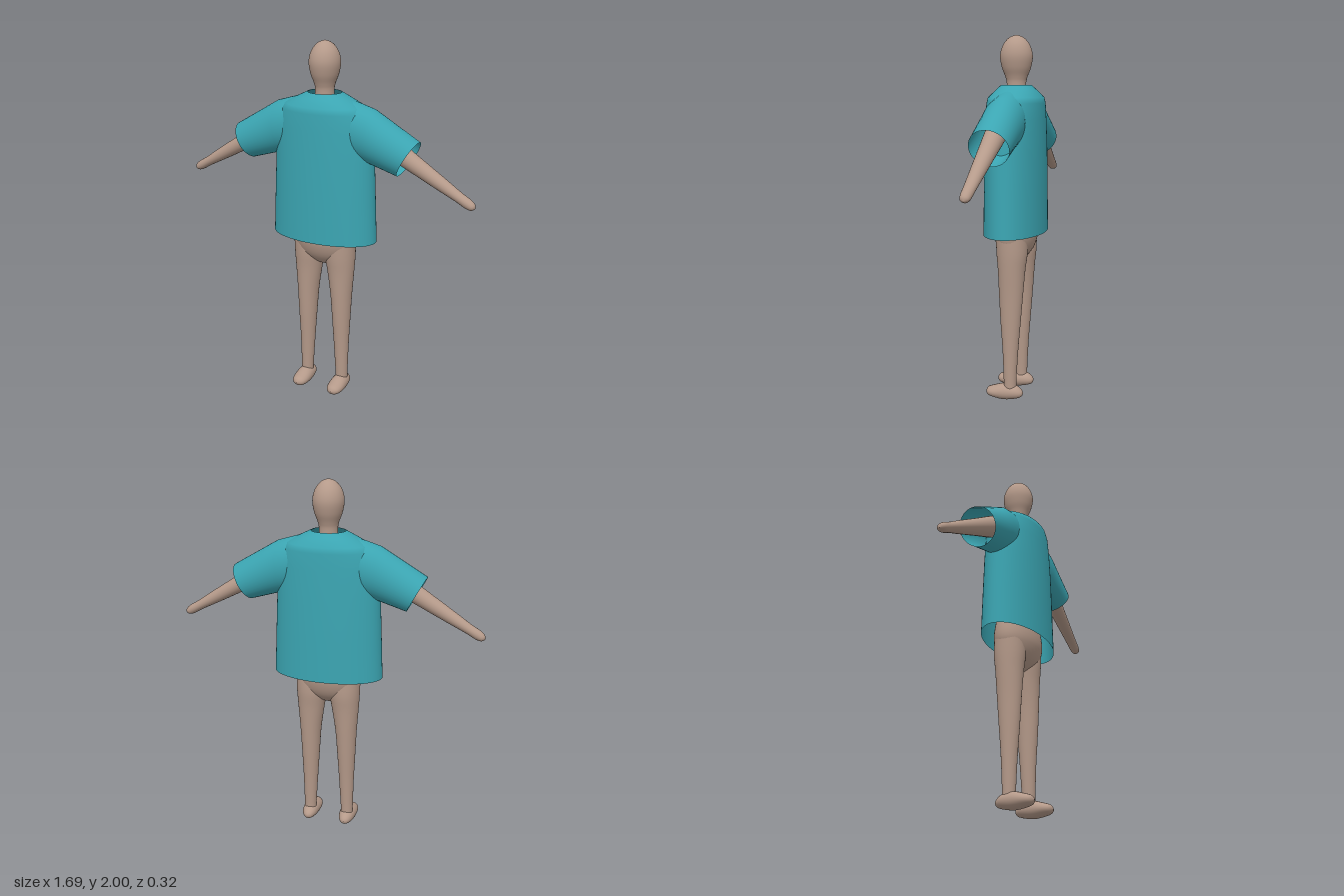
import * as THREE from 'three';

// Skins elliptical rings. Ring: { c: centre, u, v: half axes }, with u x v along the path.
function loft(rings, { side = 1, smooth = 0, seg = 40 } = {}) {
  let list = rings.map(r => [...r.c, ...r.u, ...r.v]);
  if (smooth) {
    const curve = [0, 3, 6].map(k => new THREE.SplineCurve(list.map(a => new THREE.Vector2(a[k], a[k + 1]))));
    const depth = [2, 5, 8].map(k => new THREE.SplineCurve(list.map(a => new THREE.Vector2(a[k], 0))));
    const n = (list.length - 1) * smooth;
    list = Array.from({ length: n + 1 }, (_, i) => [0, 1, 2].flatMap(k => {
      const p = curve[k].getPoint(i / n);
      return [p.x, p.y, depth[k].getPoint(i / n).x];
    }));
  }
  const pos = [], idx = [];
  list.forEach((a, i) => {
    for (let j = 0; j < seg; j++) {
      const t = (j / seg) * Math.PI * 2, cs = Math.cos(t), sn = Math.sin(t);
      const [x, y, z] = [0, 1, 2].map(k => a[k] + a[3 + k] * cs + a[6 + k] * sn);
      pos.push(x * side, y, z);
      if (i === list.length - 1) continue;
      const p = i * seg + j, q = i * seg + (j + 1) % seg, r = p + seg, s = q + seg;
      if (side > 0) idx.push(p, q, r, q, s, r);
      else idx.push(p, r, q, q, r, s);
    }
  });
  const g = new THREE.BufferGeometry();
  g.setAttribute('position', new THREE.Float32BufferAttribute(pos, 3));
  g.setIndex(idx);
  g.computeVertexNormals();
  return g;
}

// Ring lying flat at height y
const flat = (y, rx, rz, x = 0, z = 0) => ({ c: [x, y, z], u: [0, 0, rz], v: [rx, 0, 0] });
// Upright ring facing +z
const facing = (z, rx, ry, x, y) => ({ c: [x, y, z], u: [rx, 0, 0], v: [0, ry, 0] });
// Ring spanning a top point to a bottom point, half depth hz
const span = (tx, ty, bx, by, hz) => ({
  c: [(tx + bx) / 2, (ty + by) / 2, 0], u: [0, 0, hz], v: [(bx - tx) / 2, (by - ty) / 2, 0],
});

export function createModel() {
  const model = new THREE.Group();
  model.name = 'figure';
  const skin = new THREE.MeshStandardMaterial({ color: 0xb59a8a });
  skin.name = 'skin';
  const cloth = new THREE.MeshStandardMaterial({ color: 0x3ba5b2, side: THREE.DoubleSide });
  cloth.name = 'teal cloth';
  const add = (name, geometry, material) => {
    const mesh = new THREE.Mesh(geometry, material);
    mesh.name = name;
    model.add(mesh);
  };

  // Head and neck
  add('head', loft([
    flat(1.64, 0.055, 0.055), flat(1.74, 0.05, 0.052), flat(1.78, 0.056, 0.06), flat(1.83, 0.074, 0.079),
    flat(1.89, 0.083, 0.088), flat(1.945, 0.07, 0.073), flat(1.985, 0.038, 0.04), flat(2, 0, 0),
  ], { smooth: 5 }), skin);

  // Hips and torso
  add('torso', loft([
    flat(0.77, 0, 0), flat(0.785, 0.05, 0.035), flat(0.83, 0.14, 0.08), flat(0.89, 0.178, 0.107),
    flat(0.96, 0.186, 0.115), flat(1.1, 0.165, 0.1), flat(1.3, 0.175, 0.105), flat(1.5, 0.2, 0.1),
    flat(1.6, 0.16, 0.08), flat(1.67, 0.06, 0.055), flat(1.69, 0, 0),
  ], { smooth: 4 }), skin);

  // Shirt body: open at neck and hem
  add('shirtBody', loft([
    flat(0.94, 0.305, 0.162), flat(1.15, 0.296, 0.16), flat(1.39, 0.285, 0.157), flat(1.55, 0.272, 0.152),
    flat(1.64, 0.25, 0.149), flat(1.67, 0.225, 0.144), flat(1.71, 0.145, 0.108), flat(1.735, 0.093, 0.083),
  ], { seg: 64 }), cloth);

  for (const side of [1, -1]) {
    const label = side > 0 ? 'left' : 'right';

    // Sleeve, open at the cuff
    add(label + 'Sleeve', loft([
      span(0.14, 1.708, 0.18, 1.4, 0.1), span(0.21, 1.688, 0.21, 1.395, 0.108),
      span(0.28, 1.667, 0.25, 1.388, 0.108), span(0.36, 1.62, 0.31, 1.37, 0.106),
      span(0.53, 1.52, 0.43, 1.335, 0.105),
    ], { side }), cloth);

    // Arm: [distance along, radius in the arm plane, radius in z]
    const dx = 0.866, dy = -0.5;
    add(label + 'Arm', loft([
      [0, 0, 0], [0.02, 0.055, 0.055], [0.15, 0.06, 0.058], [0.37, 0.046, 0.047], [0.55, 0.035, 0.037],
      [0.66, 0.027, 0.031], [0.72, 0.026, 0.028], [0.752, 0.018, 0.021], [0.765, 0, 0],
    ].map(([d, r, rz]) => ({
      c: [0.18 + dx * d, 1.598 + dy * d, 0], u: [0, 0, rz], v: [dy * r, -dx * r, 0],
    })), { side, smooth: 4, seg: 28 }), skin);

    // Leg
    add(label + 'Leg', loft([
      flat(0.05, 0.034, 0.035, 0.111, 0.003), flat(0.11, 0.035, 0.035, 0.111, 0.004),
      flat(0.28, 0.042, 0.043, 0.108, 0.003), flat(0.45, 0.051, 0.056, 0.106, 0.002),
      flat(0.6, 0.06, 0.066, 0.104, 0), flat(0.74, 0.075, 0.075, 0.099, -0.002),
      flat(0.84, 0.086, 0.085, 0.094, -0.003), flat(0.95, 0.088, 0.085, 0.094, 0),
    ], { side, smooth: 4 }), skin);

    // Foot
    add(label + 'Foot', loft([
      facing(-0.07, 0, 0, 0.111, 0.045), facing(-0.06, 0.022, 0.02, 0.111, 0.045),
      facing(-0.025, 0.04, 0.038, 0.111, 0.05), facing(0.035, 0.047, 0.046, 0.111, 0.049),
      facing(0.095, 0.045, 0.034, 0.111, 0.045), facing(0.13, 0.03, 0.022, 0.111, 0.044),
      facing(0.143, 0, 0, 0.111, 0.044),
    ], { side, smooth: 4, seg: 28 }), skin);
  }
  return model;
}
